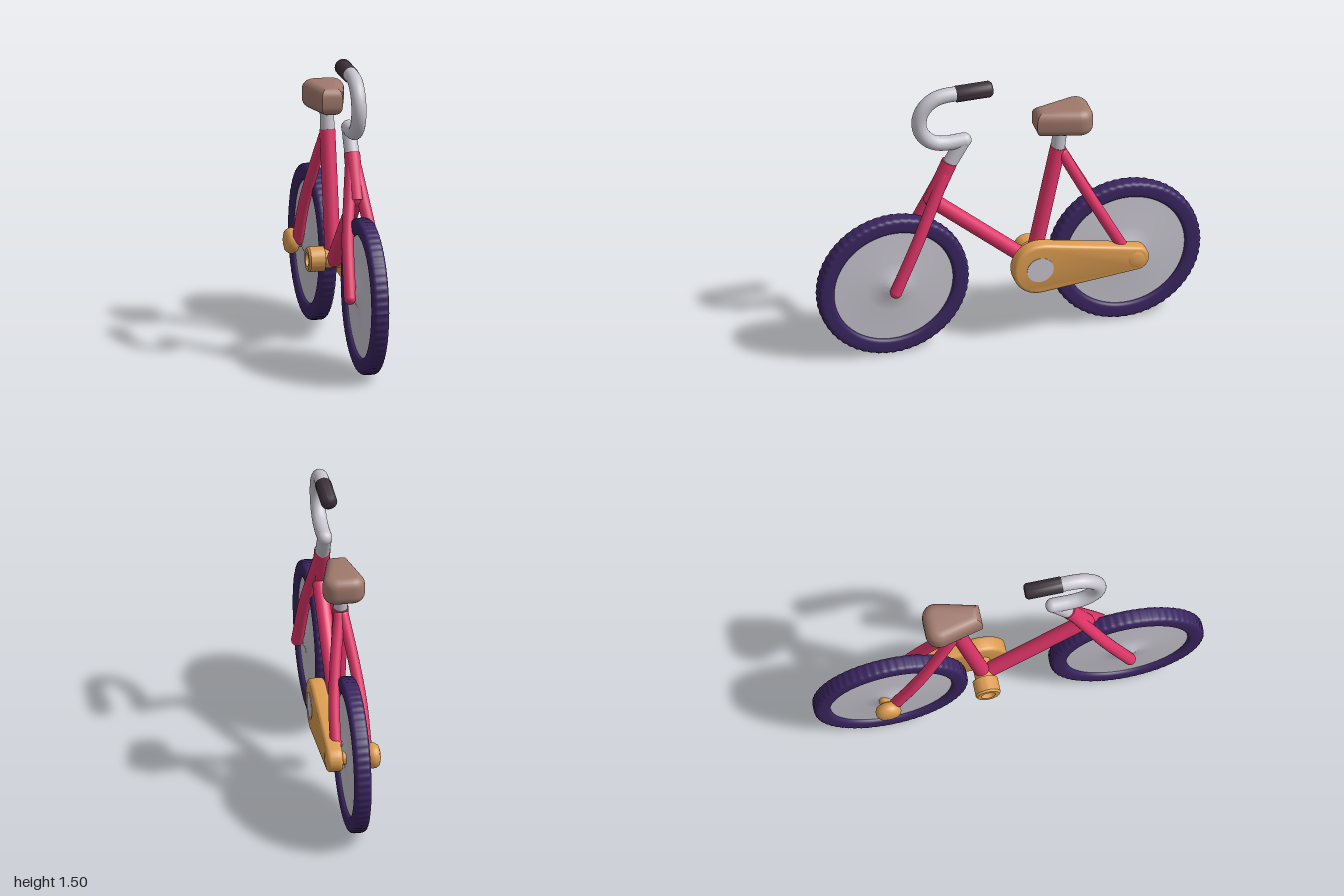
import * as THREE from 'three';
import { toCreasedNormals } from 'three/addons/utils/BufferGeometryUtils.js';

export function createModel() {
  const bike = new THREE.Group();
  bike.name = 'bicycle';

  const material = (name, color) => {
    const m = new THREE.MeshStandardMaterial({ color });
    m.name = name;
    return m;
  };
  const pink = material('pink frame paint', 0xe2366a);
  const grey = material('light grey metal', 0xc9c6d0);
  const purple = material('dark purple rubber', 0x3a2560);
  const orange = material('orange drive paint', 0xdd9d52);
  const brown = material('brown leather', 0xa0796c);
  const dark = material('dark grip', 0x3c3139);

  const V = (x, y, z) => new THREE.Vector3(x, y, z);
  const add = (name, geometry, mat, parent = bike) => {
    const mesh = new THREE.Mesh(geometry, mat);
    mesh.name = name;
    parent.add(mesh);
    return mesh;
  };

  // Straight rod between two points, with flat or round ends
  const rod = (name, mat, a, b, r, round = false) => {
    const length = a.distanceTo(b);
    const geometry = round
      ? new THREE.CapsuleGeometry(r, length, 8, 24)
      : new THREE.CylinderGeometry(r, r, length, 24);
    const mesh = add(name, geometry, mat);
    mesh.position.copy(a).lerp(b, 0.5);
    mesh.quaternion.setFromUnitVectors(V(0, 1, 0), b.clone().sub(a).normalize());
    return mesh;
  };

  // Bent pipe with ball ends
  const pipe = (name, mat, curve, r, segments = 32) => {
    const group = new THREE.Group();
    group.name = name;
    bike.add(group);
    add(name + 'Pipe', new THREE.TubeGeometry(curve, segments, r, 20), mat, group);
    for (const t of [0, 1]) {
      add(name + 'End', new THREE.SphereGeometry(r, 20, 14), mat, group)
        .position.copy(curve.getPoint(t));
    }
  };

  // Turned part whose axis runs along x; profile is [radius, distance towards -x]
  const turned = (profile, segments = 40, crease = 0.6) => toCreasedNormals(
    new THREE.LatheGeometry(profile.map(([r, h]) => new THREE.Vector2(r, h)), segments)
      .rotateZ(Math.PI / 2), crease);

  // Wheels: ribbed tyre and domed disc
  const tyreGeometry = () => {
    const section = [];
    const soft = (v) => Math.sign(v) * Math.sqrt(Math.abs(v));
    for (let i = 0; i <= 28; i++) {
      const a = Math.PI + (i / 28) * Math.PI * 2;
      section.push(new THREE.Vector2(0.351 + 0.042 * soft(Math.cos(a)), 0.042 * soft(Math.sin(a))));
    }
    const geometry = new THREE.LatheGeometry(section, 240);
    const p = geometry.attributes.position;
    for (let i = 0; i < p.count; i++) {
      const x = p.getX(i), z = p.getZ(i), r = Math.hypot(x, z);
      if (r < 0.375) continue;
      const s = 1 + 0.006 * Math.cos(Math.atan2(z, x) * 60);
      p.setX(i, x * s);
      p.setZ(i, z * s);
    }
    geometry.computeVertexNormals();
    return geometry.rotateZ(Math.PI / 2);
  };
  const tyre = tyreGeometry();
  const disc = turned([[0, -0.055], [0.03, -0.053], [0.06, -0.036], [0.14, -0.028], [0.325, -0.022],
    [0.325, 0.022], [0.14, 0.028], [0.06, 0.036], [0.03, 0.053], [0, 0.055]], 64);
  for (const [name, z] of [['frontWheel', 0.605], ['rearWheel', -0.605]]) {
    const wheel = new THREE.Group();
    wheel.name = name;
    wheel.position.set(0, 0.395, z);
    bike.add(wheel);
    add(name + 'Tyre', tyre, purple, wheel);
    add(name + 'Disc', disc, grey, wheel);
  }

  // Frame
  rod('headTube', pink, V(0, 1.065, 0.305), V(0, 0.84, 0.405), 0.041);
  rod('downTube', pink, V(0, 0.85, 0.395), V(0, 0.42, -0.1), 0.039, true);
  rod('seatTube', pink, V(0, 1.055, -0.262), V(0, 0.42, -0.13), 0.04);
  for (const s of [-1, 1]) {
    pipe('forkBlade', pink, new THREE.CatmullRomCurve3([
      V(s * 0.012, 1.0, 0.335), V(s * 0.035, 0.85, 0.402),
      V(s * 0.062, 0.66, 0.487), V(s * 0.078, 0.388, 0.608)]), 0.031);
    pipe('seatStay', pink, new THREE.CatmullRomCurve3([
      V(s * 0.01, 1.02, -0.28), V(s * 0.045, 0.82, -0.382),
      V(s * 0.07, 0.62, -0.487), V(s * 0.077, 0.41, -0.598)]), 0.029);
  }

  // Stem, curved handlebar and grip
  rod('stem', grey, V(0, 1.03, 0.32), V(0, 1.175, 0.235), 0.037, true);
  const bar = [V(0, 1.18, 0.23), V(0, 1.178, 0.28)];
  for (let i = 0; i <= 8; i++) {
    const a = -Math.PI / 2 + (i / 8) * Math.PI;
    bar.push(V(0, 1.319 + 0.141 * Math.sin(a), 0.325 + 0.141 * Math.cos(a)));
  }
  bar.push(V(0, 1.46, 0.25));
  pipe('handlebar', grey, new THREE.CatmullRomCurve3(bar), 0.038, 64);
  const grip = add('grip', turned([[0, -0.1], [0.032, -0.1], [0.042, -0.088], [0.042, 0.088],
    [0.032, 0.1], [0, 0.1]], 32, 0.9).rotateY(Math.PI / 2), dark);
  grip.position.set(0, 1.459, 0.185);

  // Seat post and padded wedge seat
  rod('seatPost', grey, V(0, 1.03, -0.258), V(0, 1.18, -0.276), 0.036);
  const seatShape = new THREE.Shape();
  seatShape.moveTo(-0.014, 0.19);
  seatShape.lineTo(0.014, 0.19);
  seatShape.lineTo(0.056, 0.355);
  seatShape.quadraticCurveTo(0.06, 0.38, 0.035, 0.381);
  seatShape.lineTo(-0.035, 0.381);
  seatShape.quadraticCurveTo(-0.06, 0.38, -0.056, 0.355);
  seatShape.closePath();
  const seat = new THREE.ExtrudeGeometry(seatShape, {
    depth: 0.045, bevelEnabled: true, bevelSize: 0.05, bevelThickness: 0.05, bevelSegments: 6, curveSegments: 6,
  }).rotateX(-Math.PI / 2).translate(0, 1.195, 0);
  add('seat', toCreasedNormals(seat, 0.6), brown);

  // Chain guard: hull of a large and a small circle
  const bevel = 0.018, tilt = -0.05, open = 1.42;
  const guardShape = new THREE.Shape();
  guardShape.absarc(0.132, 0.423, 0.14 - bevel, open + tilt, Math.PI * 2 - open + tilt, false);
  guardShape.absarc(0.635, 0.398, 0.067 - bevel, -open + tilt, open + tilt, false);
  guardShape.closePath();
  const guard = new THREE.ExtrudeGeometry(guardShape, {
    depth: 0.044, bevelEnabled: true, bevelSize: bevel, bevelThickness: bevel, bevelSegments: 4, curveSegments: 32,
  }).rotateY(Math.PI / 2).translate(0.055 + bevel, 0, 0);
  add('chainGuard', toCreasedNormals(guard, 0.6), orange);
  const cap = add('guardCap', new THREE.CylinderGeometry(0.069, 0.069, 0.006, 40).rotateZ(Math.PI / 2), grey);
  cap.position.set(0.135, 0.425, -0.13);

  // Crank axle with a socket on the right end
  const crank = add('crankAxle', turned([[0, -0.07], [0.048, -0.07], [0.048, 0.045], [0.064, 0.05],
    [0.064, 0.125], [0.056, 0.135], [0.036, 0.135], [0.036, 0.1], [0, 0.1]]), orange);
  crank.position.set(0, 0.42, -0.128);

  // Rounded rear axle nuts
  const nut = turned([[0, 0.03], [0.035, 0.03], [0.035, 0.065], [0.055, 0.075], [0.065, 0.095],
    [0.064, 0.115], [0.052, 0.132], [0.03, 0.139], [0, 0.14]], 32, 0.9);
  for (const s of [0, 1]) {
    const mesh = add('rearAxleNut', nut, orange);
    mesh.position.set(0, 0.397, -0.635);
    mesh.rotation.y = s * Math.PI;
  }

  return bike;
}
